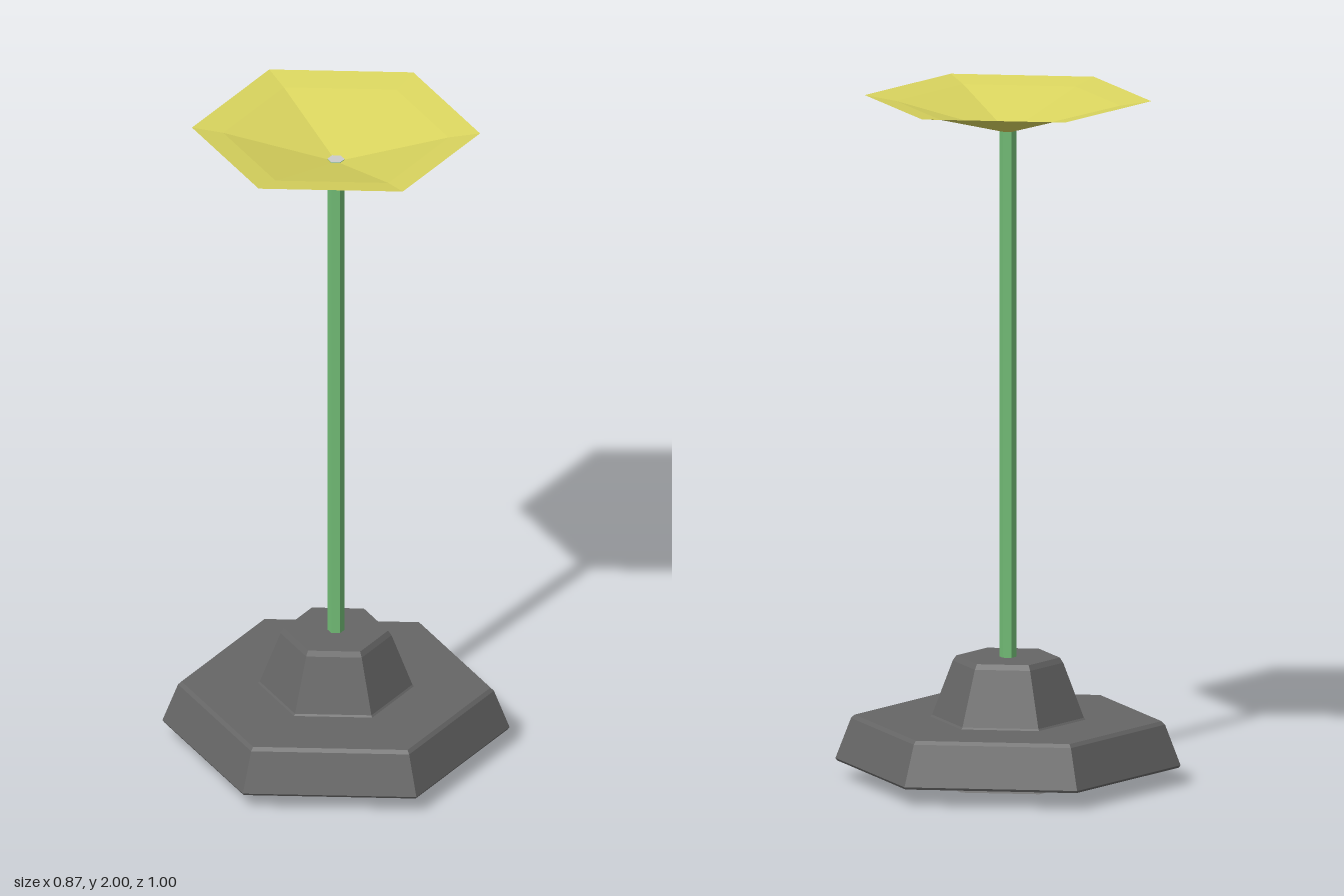
import * as THREE from 'three';

// Six-sided turned part with a corner on the z axis
function hexLathe(name, color, profile) {
  const geometry = new THREE.LatheGeometry(profile.map(([r, y]) => new THREE.Vector2(r, y)), 6);
  const material = new THREE.MeshStandardMaterial({ color, flatShading: true, side: THREE.DoubleSide });
  const mesh = new THREE.Mesh(geometry, material);
  mesh.name = name;
  return mesh;
}

export function createModel() {
  const model = new THREE.Group();
  model.name = 'hexagonalStand';

  // Hollow skirt with a tapered collar, small bevels on the edges
  model.add(hexLathe('base', 0x666666, [
    [0, 0.15], [0.38, 0.15], [0.43, 0.05], [0.495, 0.05], [0.5, 0.057],
    [0.455, 0.175], [0.445, 0.185], [0.225, 0.185], [0.22, 0.19],
    [0.16, 0.35], [0.15, 0.365], [0, 0.365],
  ]));

  // Pale tapered foot set into the underside of the skirt
  model.add(hexLathe('foot', 0xcccccc, [[0, 0], [0.225, 0], [0.255, 0.04], [0.33, 0.15]]));

  // Thin pole and its pale end cap
  model.add(hexLathe('pole', 0x72bd76, [[0.025, 0.36], [0.025, 1.907]]));
  model.add(hexLathe('poleCap', 0xcccccc, [[0.025, 1.907], [0, 1.907]]));

  // Shallow dish with a flatter rim
  model.add(hexLathe('dish', 0xd9d45e, [[0.024, 1.905], [0.325, 1.985], [0.415, 2]]));

  return model;
}
